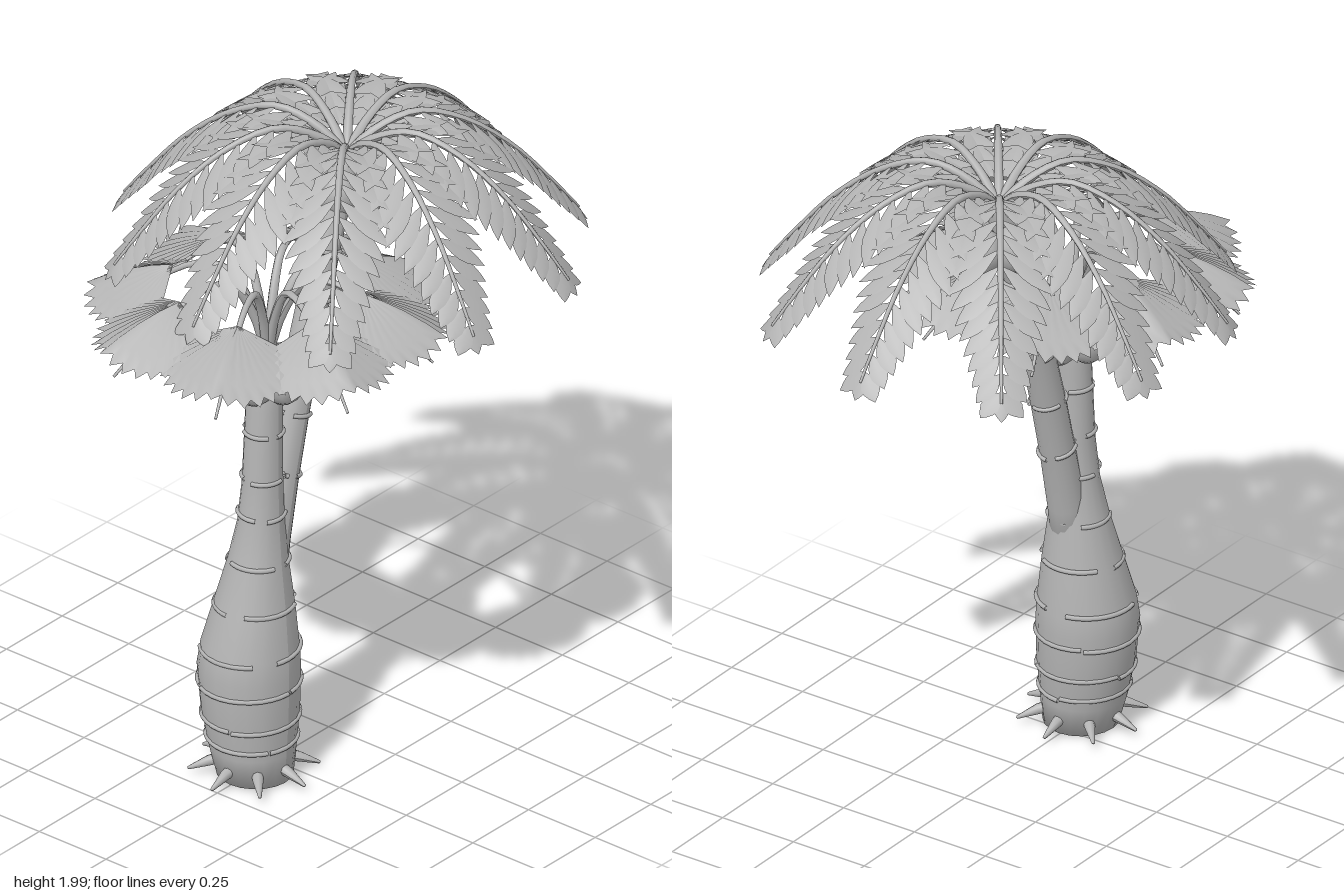
import * as THREE from 'three';
import { mergeGeometries } from 'three/addons/utils/BufferGeometryUtils.js';

const grey = new THREE.MeshStandardMaterial({ color: 0xb4b4b4, side: THREE.DoubleSide });
grey.name = 'stone grey';

function add(parent, name, geometry) {
  const mesh = new THREE.Mesh(geometry, grey);
  mesh.name = name;
  parent.add(mesh);
  return mesh;
}

// Round limb swept through rows of [x, y, z, radius] that bend in the xy plane
function limb(rows, sides) {
  const g = new THREE.CylinderGeometry(1, 1, 1, sides, rows.length - 1);
  const p = g.attributes.position;
  const c = rows.map(r => new THREE.Vector3(r[0], r[1], r[2]));
  for (let i = 0; i < p.count; i++) {
    const k = Math.round((p.getY(i) + 0.5) * (rows.length - 1));
    const t = c[Math.min(k + 1, c.length - 1)].clone().sub(c[Math.max(k - 1, 0)]).normalize();
    const n = new THREE.Vector3(t.y, -t.x, 0).normalize();
    const r = rows[k][3];
    p.setXYZ(i, c[k].x + n.x * p.getX(i) * r, c[k].y + n.y * p.getX(i) * r, c[k].z + p.getZ(i) * r);
  }
  g.computeVertexNormals();
  return g;
}

// Tapered stalk along a smooth path of [x, y] points
function stalk(curve, r0, r1, steps, sides) {
  const rows = [];
  for (let i = 0; i <= steps; i++) {
    const q = curve.getPoint(i / steps);
    rows.push([q.x, q.y, 0, r0 + (r1 - r0) * i / steps]);
  }
  return limb(rows, sides);
}

const path = pts => new THREE.CatmullRomCurve3(pts.map(([x, y]) => new THREE.Vector3(x, y, 0)));

function sample(rows, y) {
  let i = 0;
  while (i < rows.length - 2 && rows[i + 1][1] < y) i++;
  const f = (y - rows[i][1]) / (rows[i + 1][1] - rows[i][1]);
  return rows[i].map((v, k) => v + (rows[i + 1][k] - v) * f);
}

// Raised bark scars: three arcs per ring, leaning a little
function barkRings(parent, name, rows, heights, lean, gap) {
  const arcs = [];
  heights.forEach((y, h) => {
    const [x, , z, r] = sample(rows, y);
    for (let i = 0; i < 3; i++) {
      const g = new THREE.TorusGeometry(r + 0.001, 0.007, 6, 10, Math.PI * 2 / 3 - gap(y));
      g.rotateZ(i * Math.PI * 2 / 3 + h * 0.8);
      g.rotateX(Math.PI / 2 + (i - 1) * 0.025);
      g.rotateZ(lean);
      g.translate(x, y + (i - 1) * 0.004, z);
      arcs.push(g);
    }
  });
  add(parent, name, mergeGeometries(arcs));
}

// Pointed oval leaflet along +x with a raised midrib
function leaflet(length, width) {
  const g = new THREE.PlaneGeometry(1, 2, 6, 2);
  const p = g.attributes.position;
  for (let i = 0; i < p.count; i++) {
    const t = p.getX(i) + 0.5, s = p.getY(i);
    const w = Math.sin(Math.PI * Math.pow(t, 1.1)) * width / 2;
    p.setXYZ(i, t * length, -Math.abs(s) * w * 0.15 - 0.08 * length * t * t, -s * w);
  }
  g.computeVertexNormals();
  return g;
}

// Arched feather frond pointing along +x
const frondPath = path([[0, 1.87], [0.09, 1.945], [0.21, 1.985], [0.35, 1.94], [0.49, 1.835], [0.61, 1.7], [0.69, 1.6]]);
function frondLeaves() {
  const parts = [], pairs = 15, side = new THREE.Vector3(0, 0, 1);
  const put = (u, angle, droop, length, width) => {
    const T = frondPath.getTangentAt(u), N = new THREE.Vector3(-T.y, T.x, 0);
    const dir = T.clone().multiplyScalar(Math.cos(angle)).addScaledVector(side, Math.sin(angle))
      .addScaledVector(N, -droop).normalize();
    // Blades lie a little flatter than the rib they grow from
    const across = dir.clone().cross(N.clone().add(new THREE.Vector3(0, 0.5, 0))).normalize();
    const up = across.clone().cross(dir);
    const m = new THREE.Matrix4().makeBasis(dir, up, across).setPosition(frondPath.getPointAt(u));
    parts.push(leaflet(length, width).applyMatrix4(m));
  };
  for (let i = 0; i < pairs; i++) {
    const u = 0.1 + 0.86 * i / (pairs - 1);
    const angle = 0.92 - 0.22 * u * u;
    const length = u < 0.45 ? 0.13 + 0.19 * u : 0.215 - 0.23 * (u - 0.45);
    for (const s of [-1, 1]) put(u, s * angle, 0.16 - 0.1 * u, length, 0.056);
  }
  put(0.97, 0, 0.02, 0.08, 0.045);
  return mergeGeometries(parts);
}

// Pleated, tent-folded fan pointing along +x, with a saw-toothed rim
function fanLeaf() {
  const fingers = 19, rings = 4, pos = [], idx = [], cols = fingers * 2 + 1;
  for (let j = 0; j <= rings; j++) {
    for (let i = 0; i < cols; i++) {
      const a = (i / (cols - 1) - 0.5) * 3.3, tip = i % 2;
      const reach = (0.165 + 0.095 * Math.cos(a)) * (tip || j < rings ? 1 : 0.88) * j / rings;
      const f = Math.cos(a) * reach, w = Math.sin(a) * reach;
      const drop = 0.18 * f + 0.9 * f * f + 0.45 * Math.abs(w);
      pos.push(0.285 + f, 1.612 - drop + (tip ? 0.005 : -0.005) * j / rings, w * 1.1);
      if (i && j) {
        const d = j * cols + i, b = d - cols;
        idx.push(b - 1, b, d - 1, b, d, d - 1);
      }
    }
  }
  const g = new THREE.BufferGeometry();
  g.setAttribute('position', new THREE.Float32BufferAttribute(pos, 3));
  g.setIndex(idx);
  g.computeVertexNormals();
  return g;
}

// Four nuts around a trunk
function nuts(parent, x, y, spread, radius) {
  for (let i = 0; i < 4; i++) {
    const a = i * Math.PI / 2;
    const nut = add(parent, 'nut', new THREE.SphereGeometry(radius, 10, 8));
    nut.scale.y = 1.15;
    nut.position.set(x + Math.cos(a) * spread, y, Math.sin(a) * spread);
  }
}

export function createModel() {
  const model = new THREE.Group();
  model.name = 'twinPalm';

  // Bottle-shaped trunk
  const bottle = [
    [-0.335, 0.005, 0, 0], [-0.335, 0.008, 0.003, 0.112], [-0.333, 0.1, -0.008, 0.128], [-0.333, 0.22, -0.016, 0.144],
    [-0.332, 0.35, -0.022, 0.151], [-0.328, 0.42, -0.02, 0.144], [-0.315, 0.56, -0.014, 0.117], [-0.306, 0.7, -0.008, 0.088],
    [-0.3, 0.82, -0.003, 0.069], [-0.297, 0.95, 0, 0.06], [-0.29, 1.2, 0, 0.054], [-0.275, 1.38, 0, 0.05], [-0.275, 1.385, 0, 0]
  ];
  const gap = y => (y < 0.35 ? 0.05 : 0.5);
  add(model, 'bottleTrunk', limb(bottle, 20));
  barkRings(model, 'bottleTrunkRings', bottle, [0.13, 0.2, 0.31, 0.42, 0.56, 0.7, 0.85, 0.97, 1.12], 0, gap);

  // Leaning trunk
  const leaning = [
    [-0.285, 0.62, 0, 0], [-0.282, 0.625, 0, 0.06], [-0.258, 0.75, 0, 0.057], [-0.215, 0.93, 0, 0.053], [-0.167, 1.12, 0, 0.052],
    [-0.115, 1.3, 0, 0.05], [-0.065, 1.46, 0, 0.048], [-0.015, 1.61, 0, 0.046], [0.04, 1.76, 0, 0.044],
    [0.08, 1.88, 0, 0.04], [0.082, 1.885, 0, 0]
  ];
  add(model, 'leaningTrunk', limb(leaning, 16));
  barkRings(model, 'leaningTrunkRings', leaning, [0.95, 1.13, 1.31, 1.46, 1.6], -0.29, gap);

  // Root spikes
  for (let i = 0; i < 8; i++) {
    const spike = new THREE.Group();
    spike.name = 'rootSpike';
    spike.position.set(-0.335, 0, 0);
    spike.rotation.y = i * Math.PI / 4;
    add(spike, 'spike', limb([[0.08, 0.06, 0, 0.018], [0.13, 0.048, 0, 0.016], [0.19, 0.026, 0, 0.005], [0.193, 0.025, 0, 0]], 8));
    model.add(spike);
  }

  nuts(model, -0.275, 1.295, 0.06, 0.063);
  nuts(model, 0.1, 1.76, 0.062, 0.062);

  // Feather crown on the leaning trunk
  const rib = stalk(frondPath, 0.015, 0.004, 20, 8), leaves = frondLeaves();
  for (let i = 0; i < 10; i++) {
    const frond = new THREE.Group();
    frond.name = 'featherFrond';
    frond.position.x = 0.08;
    frond.rotation.y = i * Math.PI / 5;
    add(frond, 'frondRib', rib);
    add(frond, 'frondLeaflets', leaves);
    model.add(frond);
  }

  // Fan crown on the bottle trunk
  const stem = stalk(path([[0, 1.36], [0.05, 1.52], [0.12, 1.625], [0.21, 1.63], [0.31, 1.575], [0.42, 1.49], [0.5, 1.42]]), 0.016, 0.004, 16, 8);
  const fan = fanLeaf();
  for (let i = 0; i < 8; i++) {
    const leaf = new THREE.Group();
    leaf.name = 'fanLeaf';
    leaf.position.x = -0.275;
    leaf.rotation.y = (i + 0.5) * Math.PI / 4;
    add(leaf, 'fanStem', stem);
    add(leaf, 'fanBlade', fan);
    model.add(leaf);
  }
  return model;
}
